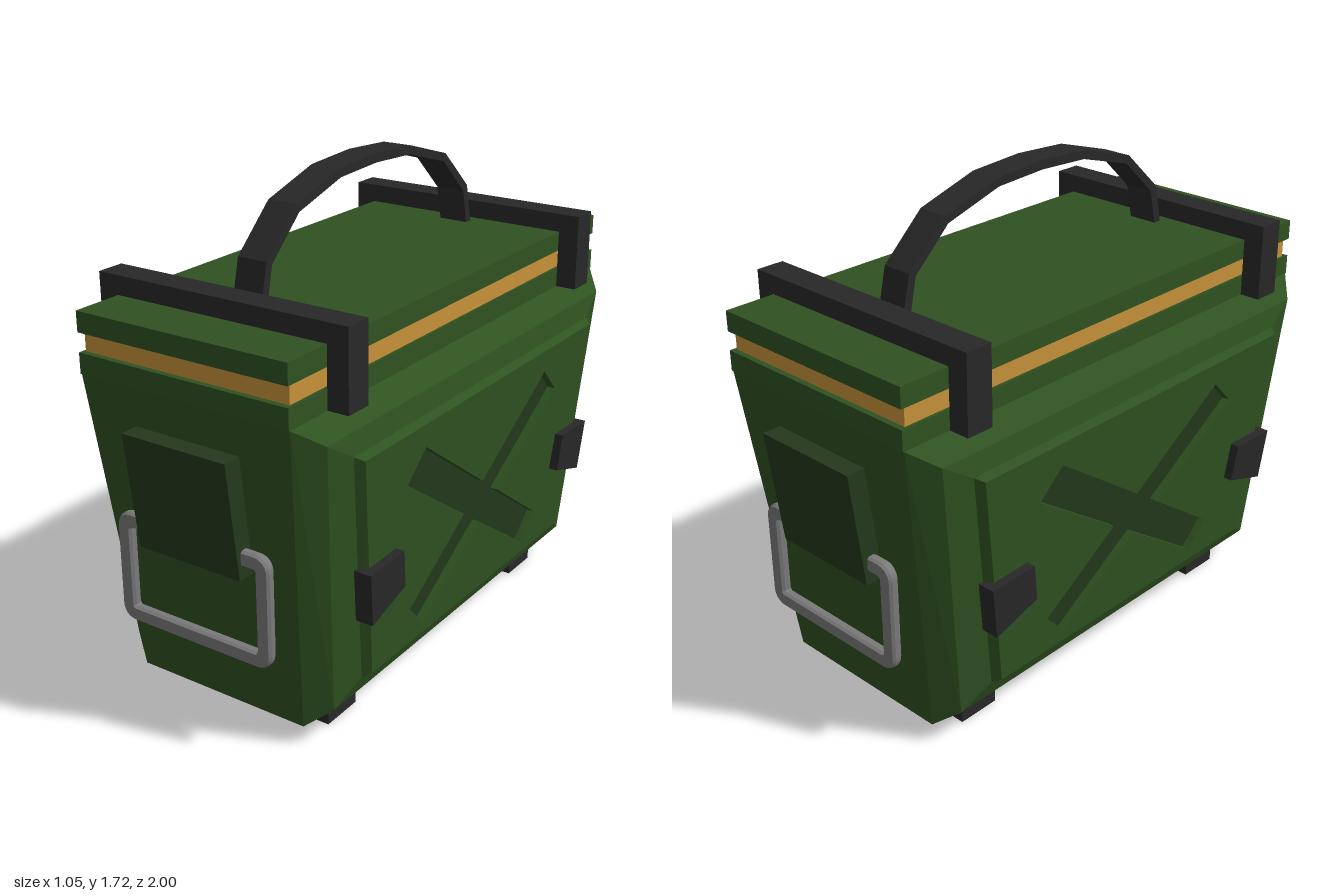
import * as THREE from 'three';

const mat = (color) => new THREE.MeshStandardMaterial({ color, flatShading: true });
const green = mat(0x2f5221), darkGreen = mat(0x24391c), black = mat(0x282828);
const gold = mat(0xc8923a), steel = mat(0x7a7a7a);

export function createModel() {
  const model = new THREE.Group();

  const add = (parent, name, geometry, material) => {
    const mesh = new THREE.Mesh(geometry, material);
    mesh.name = name;
    parent.add(mesh);
    return mesh;
  };
  // box given by its minimum and maximum on each axis
  const box = (parent, name, [x0, x1], [y0, y1], [z0, z1], material) =>
    add(parent, name, new THREE.BoxGeometry(x1 - x0, y1 - y0, z1 - z0)
      .translate((x0 + x1) / 2, (y0 + y1) / 2, (z0 + z1) / 2), material);
  const shapeOf = (pts) => new THREE.Shape(pts.map(([x, y]) => new THREE.Vector2(x, y)));

  // skin through four-cornered rings, each counter-clockwise seen from the last one
  function loft(rings, capStart, capEnd) {
    const pos = [];
    const quad = (a, b, c, d) => pos.push(...a, ...b, ...c, ...a, ...c, ...d);
    for (let r = 0; r + 1 < rings.length; r++)
      for (let i = 0; i < 4; i++) {
        const j = (i + 1) % 4;
        quad(rings[r][i], rings[r][j], rings[r + 1][j], rings[r + 1][i]);
      }
    if (capStart) quad(...[...rings[0]].reverse());
    if (capEnd) quad(...rings[rings.length - 1]);
    const geo = new THREE.BufferGeometry();
    geo.setAttribute('position', new THREE.Float32BufferAttribute(pos, 3));
    geo.computeVertexNormals();
    return geo;
  }

  // tapered body with a straight rim
  const level = (y, x, z) => [[x, y, z], [x, y, -z], [-x, y, -z], [-x, y, z]];
  add(model, 'body', loft([level(0.07, 0.33, 0.82), level(1.15, 0.4, 0.95)], true, true), green);
  box(model, 'bodyRim', [-0.4, 0.4], [1.15, 1.22], [-0.955, 0.955], green);
  box(model, 'seal', [-0.39, 0.39], [1.22, 1.285], [-0.935, 0.935], gold);
  box(model, 'lid', [-0.4, 0.4], [1.285, 1.355], [-0.955, 0.955], green);

  // leaning side surface
  const sideX = (y) => 0.44 + 0.055 * (y - 0.205);
  // outline in (-z, y), extruded out from the leaning side surface
  function sideExtrude(shape, from, to, rule) {
    const geo = new THREE.ExtrudeGeometry(shape, { depth: to - from, bevelEnabled: false }).rotateY(Math.PI / 2);
    const p = geo.attributes.position, v = new THREE.Vector3();
    for (let i = 0; i < p.count; i++) {
      v.fromBufferAttribute(p, i);
      if (rule) rule(v);
      p.setXYZ(i, v.x + from + sideX(v.y), v.y, v.z);
    }
    geo.computeVertexNormals();
    return geo;
  }

  function makeSide() {
    const side = new THREE.Group();
    // bulged shell: bottom and top given as [x, y, z]
    const ring = ([xb, yb, zb], [xt, yt, zt]) => [[xb, yb, -zb], [xt, yt, -zt], [xt, yt, zt], [xb, yb, zb]];
    const inner = ring([0.44, 0.205, 0.655], [0.485, 1.02, 0.76]);
    add(side, 'sideShell', loft([
      ring([0.33, 0.07, 0.82], [0.4, 1.15, 0.95]),
      ring([0.41, 0.13, 0.765], [0.47, 1.09, 0.87]),
      inner,
    ]), green);
    add(side, 'grooveFloor', loft([inner], false, true), darkGreen);

    // raised panel with a cross-shaped groove
    const panel = shapeOf([[-0.655, 0.205], [0.655, 0.205], [0.76, 1.02], [-0.76, 1.02]]);
    const half = [[0.396, 0.925], [0.492, 0.829], [0.1135, 0.571], [0.428, 0.353], [0.342, 0.262]];
    const cross = [[0, 0.65], ...half, [0, 0.494], ...half.map(([u, v]) => [-u, v]).reverse()];
    panel.holes.push(new THREE.Path(cross.map(([u, v]) => new THREE.Vector2(u, v))));
    add(side, 'sidePanel', sideExtrude(panel, 0, 0.028, (v) => {
      // narrow the outer face to chamfer the rim
      if (v.x > 0.01 && Math.abs(v.y - 0.6125) > 0.4) {
        v.z *= 0.972;
        v.y = 0.6125 + (v.y - 0.6125) * 0.965;
      }
    }), green);

    // corner clips
    for (const s of [-1, 1]) {
      const clip = shapeOf([[0.725, 0.625], [0.54, 0.63], [0.52, 0.495], [0.7, 0.437]].map(([u, v]) => [s * u, v]));
      add(side, 'clip', sideExtrude(clip, -0.01, 0.06), black);
    }
    return side;
  }

  function roundedRect(Type, x, y0, y1, r) {
    const p = new Type();
    p.absarc(x - r, y1 - r, r, 0, Math.PI / 2);
    p.absarc(-x + r, y1 - r, r, Math.PI / 2, Math.PI);
    p.absarc(-x + r, y0 + r, r, Math.PI, Math.PI * 1.5);
    p.absarc(x - r, y0 + r, r, Math.PI * 1.5, Math.PI * 2);
    p.closePath();
    return p;
  }

  function makeEnd() {
    const end = new THREE.Group();
    // leaning handle mount
    const slab = (z) => [[-0.2, 0.61, z - 0.05], [0.2, 0.61, z - 0.05], [0.2, 1.015, z], [-0.2, 1.015, z]];
    add(end, 'handleMount', loft([slab(0.92), slab(1.0)], true, true), darkGreen);
    // drop ring
    const shape = roundedRect(THREE.Shape, 0.295, 0.327, 0.703, 0.045);
    shape.holes.push(roundedRect(THREE.Path, 0.255, 0.367, 0.663, 0.012));
    add(end, 'ringHandle', new THREE.ExtrudeGeometry(shape, {
      depth: 0.016, bevelThickness: 0.01, bevelSize: 0.006, bevelSegments: 1, curveSegments: 3,
    }).translate(0, 0, 0.917), steel);
    return end;
  }

  // both sides and both ends are half-turn copies
  for (const turn of [0, Math.PI]) {
    const side = makeSide(), end = makeEnd();
    side.name = turn ? 'rightSide' : 'leftSide';
    end.name = turn ? 'backEnd' : 'frontEnd';
    side.rotation.y = end.rotation.y = turn;
    model.add(side, end);
  }

  // straps over the lid, and feet
  for (const s of [-1, 1]) {
    const strap = new THREE.Group();
    strap.name = 'strap';
    const z = [s * 0.72 - 0.05, s * 0.72 + 0.05];
    box(strap, 'strapTop', [-0.475, 0.475], [1.355, 1.42], z, black);
    box(strap, 'strapArm', [0.4, 0.475], [1.15, 1.355], z, black);
    box(strap, 'strapArm', [-0.475, -0.4], [1.15, 1.355], z, black);
    model.add(strap);
    for (const t of [-1, 1])
      box(model, 'foot', [t * 0.2525 - 0.0775, t * 0.2525 + 0.0775], [0, 0.09],
        [s * 0.6075 - 0.0775, s * 0.6075 + 0.0775], black);
  }

  // arched carrying handle
  const outer = [[0.632, 1.345], [0.597, 1.495], [0.44, 1.64], [0.21, 1.708], [0, 1.72]];
  const innerArc = [[0.6, 1.345], [0.57, 1.48], [0.428, 1.613], [0.203, 1.678], [0, 1.688]];
  const arch = (pts) => [...pts, ...pts.slice(0, -1).reverse().map(([u, v]) => [-u, v])];
  add(model, 'carryHandle', new THREE.ExtrudeGeometry(
    shapeOf([...arch(outer), ...arch(innerArc).reverse()]), { depth: 0.11, bevelEnabled: false },
  ).translate(0, 0, -0.055).rotateY(Math.PI / 2), black);

  return model;
}
